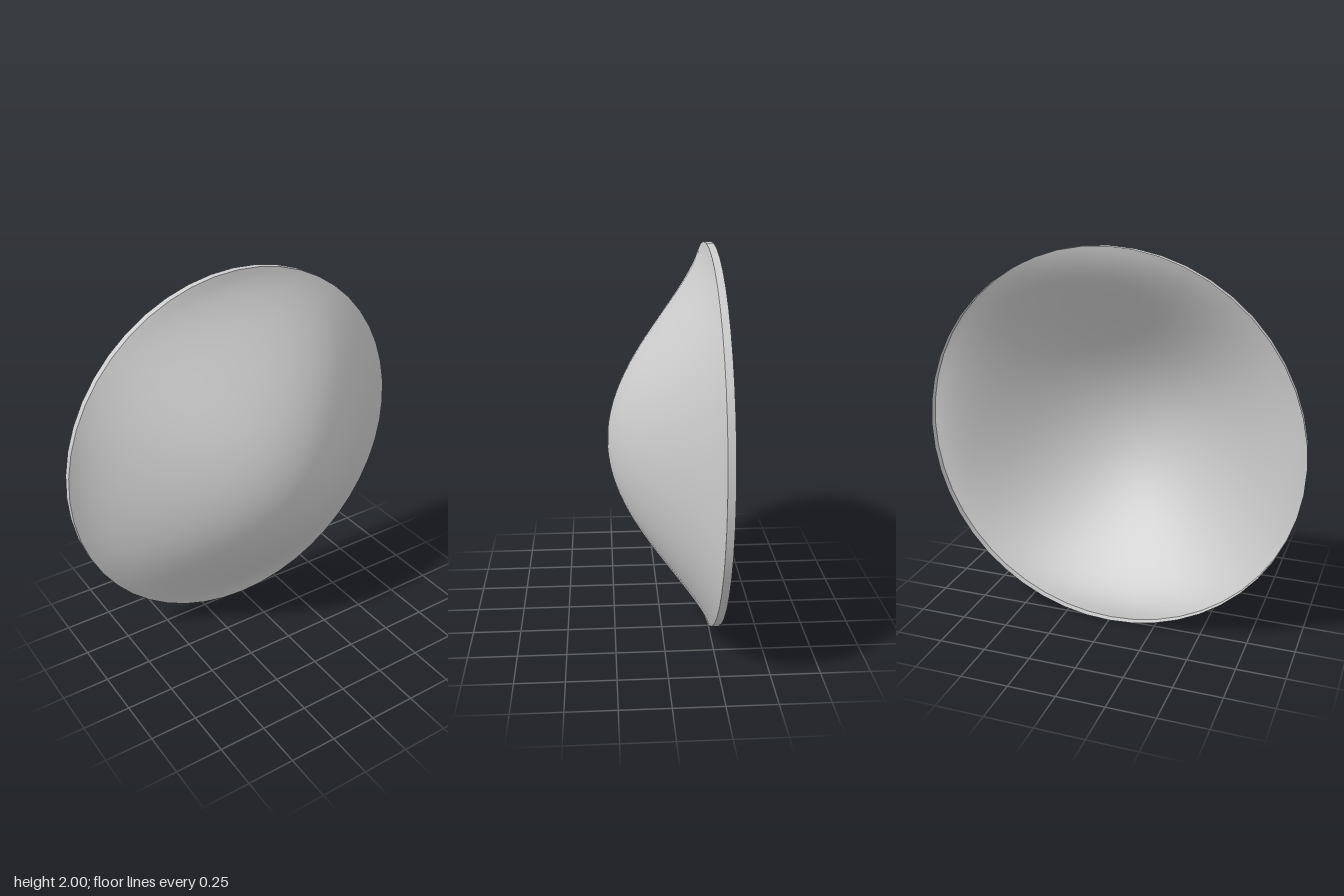
import * as THREE from 'three';
import { mergeVertices } from 'three/addons/utils/BufferGeometryUtils.js';

const SEGMENTS = 48;
const EDGE_Z = -0.235; // where the shell meets the rim
const BACK_Z = -0.272;
const DEPTH = 0.507;
const SAG = 0.03; // the crown sits slightly below the middle

// Bell-shaped height, zero on the unit circle, fuller along the diagonals
function bulge(x, y) {
  const r2 = x * x + y * y;
  return (1 - r2) * (1 - 0.5 * r2 - 0.4 * r2 * r2 + 1.8 * x * x * y * y);
}

// Thin curved shell, raised from a flat disc
function makeShell(material) {
  const disc = new THREE.RingGeometry(0, 1, SEGMENTS, 28);
  disc.deleteAttribute('uv');
  const geometry = mergeVertices(disc);
  const position = geometry.attributes.position;
  for (let i = 0; i < position.count; i++) {
    const x = position.getX(i), y = position.getY(i);
    position.setXYZ(i, x, y - SAG * (1 - x * x - y * y), EDGE_Z + DEPTH * bulge(x, y));
  }
  geometry.computeVertexNormals();
  const shell = new THREE.Mesh(geometry, material);
  shell.name = 'shell';
  return shell;
}

// Short straight band around the open back
function makeRim(material) {
  const geometry = new THREE.CylinderGeometry(1, 1, EDGE_Z - BACK_Z, SEGMENTS, 1, true);
  geometry.rotateX(Math.PI / 2);
  const rim = new THREE.Mesh(geometry, material);
  rim.name = 'rim';
  rim.position.z = (EDGE_Z + BACK_Z) / 2;
  return rim;
}

export function createModel() {
  const group = new THREE.Group();
  group.name = 'dish';
  const material = new THREE.MeshStandardMaterial({ color: 0xcccccc, side: THREE.DoubleSide });
  group.add(makeShell(material), makeRim(material));
  group.position.y = 1;
  return group;
}
